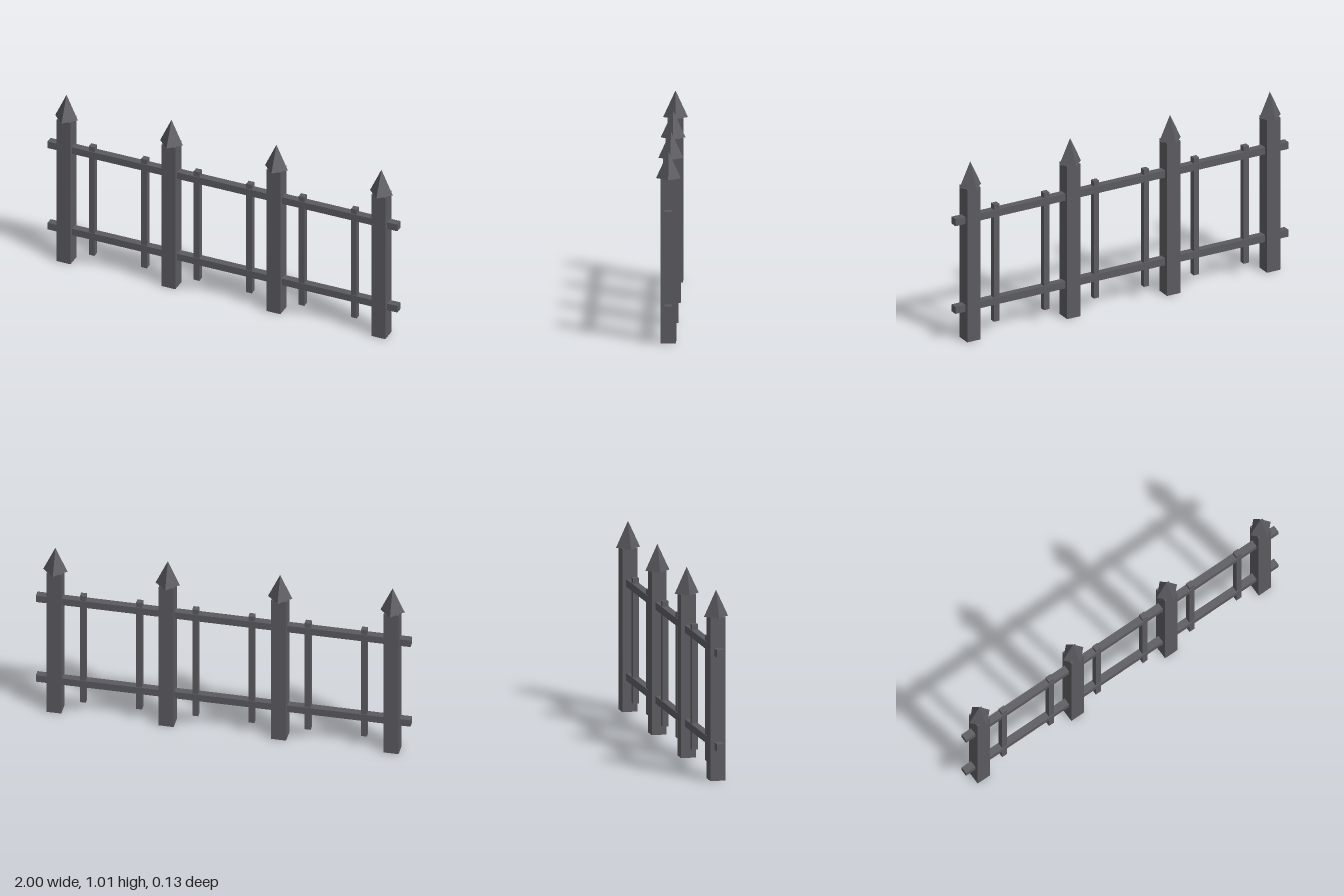
import * as THREE from 'three';

export function createModel() {
  const fence = new THREE.Group();
  fence.name = 'fence';
  const iron = new THREE.MeshStandardMaterial({ color: 0x5a5a60 });
  iron.name = 'dark iron';

  const add = (name, geometry, x, y) => {
    const mesh = new THREE.Mesh(geometry, iron);
    mesh.name = name;
    mesh.position.set(x, y, 0);
    fence.add(mesh);
  };

  // Square posts with pointed four-sided caps, corners turned to the axes
  const postHeight = 0.87, capHeight = 0.141;
  const post = new THREE.BoxGeometry(0.08, postHeight, 0.08);
  const cap = new THREE.ConeGeometry(0.065, capHeight, 4).toNonIndexed();
  cap.computeVertexNormals();
  for (const x of [-0.9, -0.3, 0.3, 0.9]) {
    add('post', post, x, postHeight / 2);
    add('postCap', cap, x, postHeight + capHeight / 2);
  }

  // Two long horizontal rails
  const rail = new THREE.BoxGeometry(2, 0.04, 0.04);
  add('lowerRail', rail, 0, 0.188);
  add('upperRail', rail, 0, 0.689);

  // Thin pickets, two in each bay
  const picket = new THREE.BoxGeometry(0.032, 0.668, 0.032);
  for (const bay of [-0.6, 0, 0.6])
    for (const side of [-1, 1]) add('picket', picket, bay + side * 0.15, 0.404);

  return fence;
}
